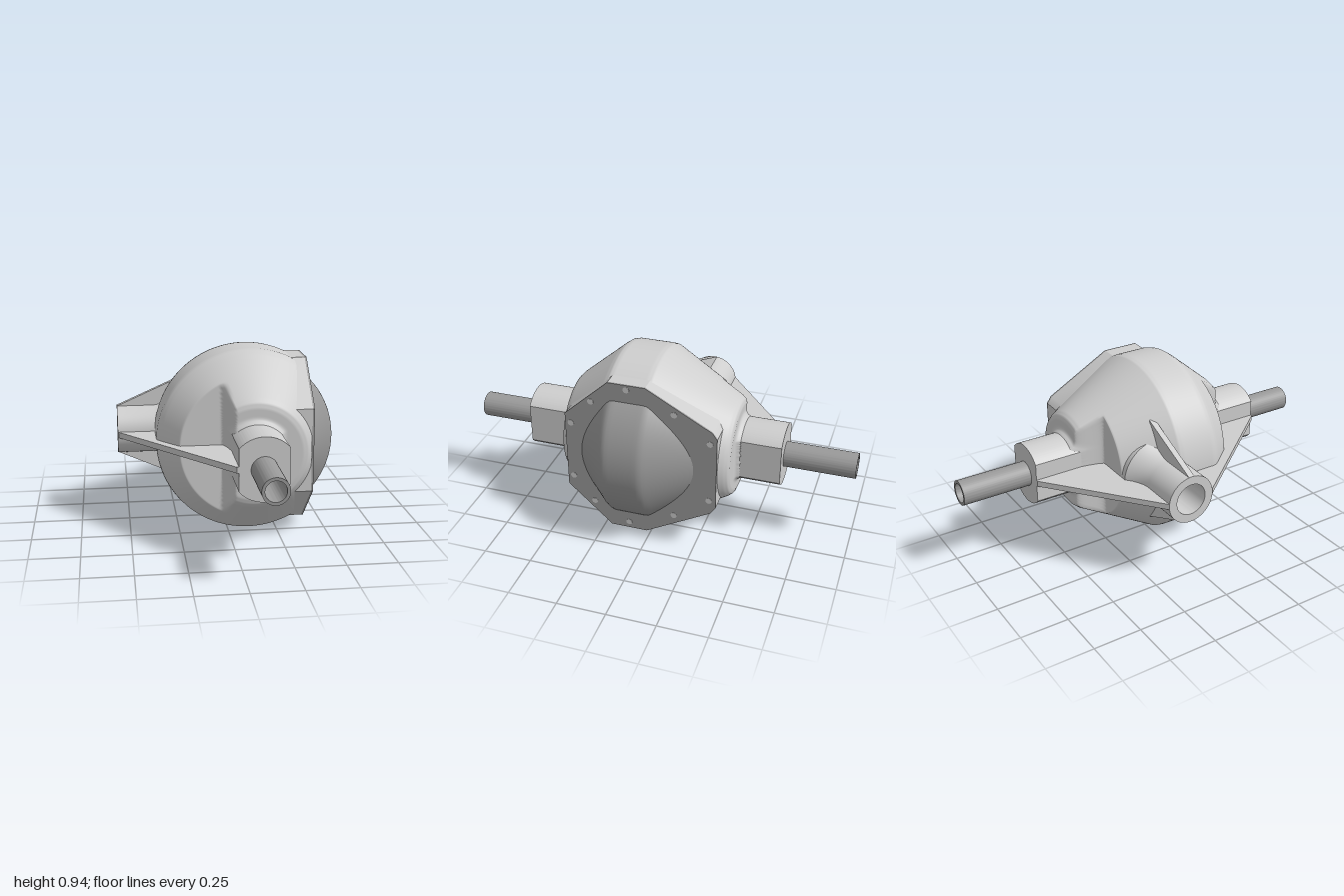
import * as THREE from 'three';
import { mergeVertices, toCreasedNormals } from 'three/addons/utils/BufferGeometryUtils.js';

const CX = 0.11, CY = 0.47; // axle axis, running along z
const HUB_R = 0.158, HUB_FLAT = 0.12, FILLET = 0.03;
const V = (p) => p.map(([a, b]) => new THREE.Vector2(a, b));

export function createModel() {
  const group = new THREE.Group();
  const castMetal = new THREE.MeshStandardMaterial({ color: 0xcecece });
  castMetal.name = 'castMetal';
  const darkSteel = new THREE.MeshStandardMaterial({ color: 0x9a9a9a });
  darkSteel.name = 'darkSteel';

  const add = (name, geo, mat) => {
    const mesh = new THREE.Mesh(geo, mat);
    mesh.name = name;
    group.add(mesh);
  };
  const extrude = (shape, depth) => toCreasedNormals(
    new THREE.ExtrudeGeometry(shape, { depth, bevelEnabled: false, curveSegments: 40 }), 0.5);
  const hole = (shape, r) => {
    shape.holes.push(new THREE.Path().absarc(0, 0, r, 0, Math.PI * 2, true));
    return shape;
  };

  // Insert evenly spaced points along a profile
  const refine = (pts, step) => {
    const out = [];
    for (let i = 0; i < pts.length - 1; i++) {
      const n = Math.ceil(pts[i].distanceTo(pts[i + 1]) / step);
      for (let k = 0; k < n; k++) out.push(pts[i].clone().lerp(pts[i + 1], k / n));
    }
    out.push(pts[pts.length - 1]);
    return out;
  };
  // Lathe around the axle axis; profile is [radius, z] from back to front
  const axleLathe = (profile, step, segs, start, sweep) => {
    const g = new THREE.LatheGeometry(refine(V(profile), step), segs, start, sweep);
    g.rotateX(Math.PI / 2).translate(CX, CY, 0);
    g.deleteAttribute('uv');
    g.deleteAttribute('normal');
    return mergeVertices(g, 1e-5);
  };

  // Round casing: pockets on the pinion side, fillets at the hubs, cut off behind the cover plate
  const casing = axleLathe([
    [0.055, -0.41], [0.225, -0.41], [0.245, -0.403], [0.26, -0.385], [0.455, -0.03], [0.467, -0.008], [0.47, 0.015],
    [0.47, 0.185], [0.466, 0.205], [0.45, 0.228], [0.275, 0.435], [0.255, 0.453], [0.23, 0.46], [0.055, 0.46],
  ], 0.0075, 160, 0, Math.PI * 2);
  const pos = casing.attributes.position;
  for (let i = 0; i < pos.count; i++) {
    const x = pos.getX(i), z = pos.getZ(i);
    const s = THREE.MathUtils.smoothstep(x, -0.045, 0.01);
    const dx = x - CX, r = Math.hypot(dx, pos.getY(i) - CY);
    const gap = THREE.MathUtils.clamp(Math.max(Math.abs(dx) - HUB_FLAT, r - HUB_R), 0, FILLET);
    const rise = s * (FILLET - Math.sqrt(FILLET ** 2 - (FILLET - gap) ** 2));
    const pocketed = Math.min(0.33 + 0.13 * s, Math.max(-0.27 - 0.14 * s, z));
    pos.setZ(i, pocketed + Math.sign(z) * rise);
    pos.setX(i, Math.min(x, 0.388));
  }
  casing.computeVertexNormals();
  add('casing', casing, castMetal);

  // Eight-sided flange and cover plate, outline as [-z, y]
  const outline = V([
    [-0.19, 0.89], [-0.42, 0.68], [-0.42, 0.26], [-0.19, 0.05], [0, 0.05],
    [0.335, 0.235], [0.36, 0.27], [0.36, 0.67], [0.335, 0.705], [0, 0.89],
  ]);
  const flange = extrude(new THREE.Shape(outline), 0.19);
  add('flange', flange.rotateY(Math.PI / 2).translate(0.2, 0, 0), castMetal);
  const plate = extrude(new THREE.Shape(outline), 0.01);
  add('coverPlate', plate.rotateY(Math.PI / 2).translate(0.39, 0, 0), darkSteel);

  // Bulging cover, a slice of a turned shape that rises out of the plate
  const dome = axleLathe([
    [0.28, -0.26], [0.425, -0.025], [0.433, -0.008], [0.435, 0.01],
    [0.435, 0.165], [0.432, 0.18], [0.42, 0.2], [0.28, 0.35],
  ], 0.02, 64, Math.PI / 6, Math.PI * 2 / 3);
  dome.computeVertexNormals();
  add('coverDome', dome, darkSteel);

  // Bolt holes around the cover plate as [z, y]
  const bolts = [
    [0.095, 0.865], [0.28, 0.77], [-0.145, 0.77], [0.39, 0.63], [-0.325, 0.64],
    [0.39, 0.315], [-0.325, 0.31], [0.28, 0.18], [-0.145, 0.18], [0.095, 0.085],
  ];
  for (const [z, y] of bolts) {
    const g = new THREE.CylinderGeometry(0.016, 0.016, 0.004, 20);
    add('boltHole', g.rotateZ(Math.PI / 2).translate(0.4, y, z), castMetal);
  }

  // Axle hubs: round bosses with two flat sides
  const a = Math.acos(HUB_FLAT / HUB_R);
  const hubShape = new THREE.Shape();
  hubShape.absarc(0, 0, HUB_R, a, Math.PI - a);
  hubShape.absarc(0, 0, HUB_R, Math.PI + a, 2 * Math.PI - a);
  hubShape.closePath();
  hole(hubShape, 0.062);
  for (const [start, end] of [[0.2, 0.695], [-0.64, -0.2]]) {
    add('axleHub', extrude(hubShape, end - start).translate(CX, CY, start), castMetal);
  }

  // Hollow axle tube passing right through
  const tube = hole(new THREE.Shape().absarc(0, 0, 0.064, 0, Math.PI * 2), 0.049);
  add('axleTube', extrude(tube, 2).translate(CX, CY, -1), darkSteel);

  // Pinion nose with an open bore, flaring into the casing; profile is [radius, x]
  const PZ = -0.085, PY = 0.475;
  const nose = new THREE.LatheGeometry(V([
    [0.082, -0.15], [0.082, -0.55], [0.126, -0.55], [0.126, -0.36], [0.131, -0.33],
    [0.143, -0.3], [0.16, -0.27], [0.185, -0.24], [0.185, -0.15],
  ]), 64);
  add('pinionNose', toCreasedNormals(nose.rotateZ(-Math.PI / 2).translate(0, PY, PZ), 0.6), castMetal);

  // Flat webs from the nose to each hub, outline as [x, -z]
  const webs = [
    [[-0.55, -0.035], [-0.02, -0.695], [0, -0.695], [0, -0.2], [-0.3, -0.15], [-0.3, -0.005], [-0.55, -0.005]],
    [[-0.55, 0.175], [-0.3, 0.175], [-0.2, 0.2], [0, 0.2], [0, 0.64], [-0.02, 0.64], [-0.55, 0.21]],
  ];
  for (const w of webs) {
    add('sideWeb', extrude(new THREE.Shape(V(w)), 0.03).rotateX(-Math.PI / 2).translate(0, 0.458, 0), castMetal);
  }

  // Upright gussets above and below the nose
  for (const s of [1, -1]) {
    const g = new THREE.Shape(V([[-0.55, s * 0.09], [-0.2, s * 0.09], [-0.2, s * 0.28], [-0.55, s * 0.125]]));
    add('gusset', extrude(g, 0.03).translate(0, PY, PZ - 0.015), castMetal);
  }
  return group;
}
